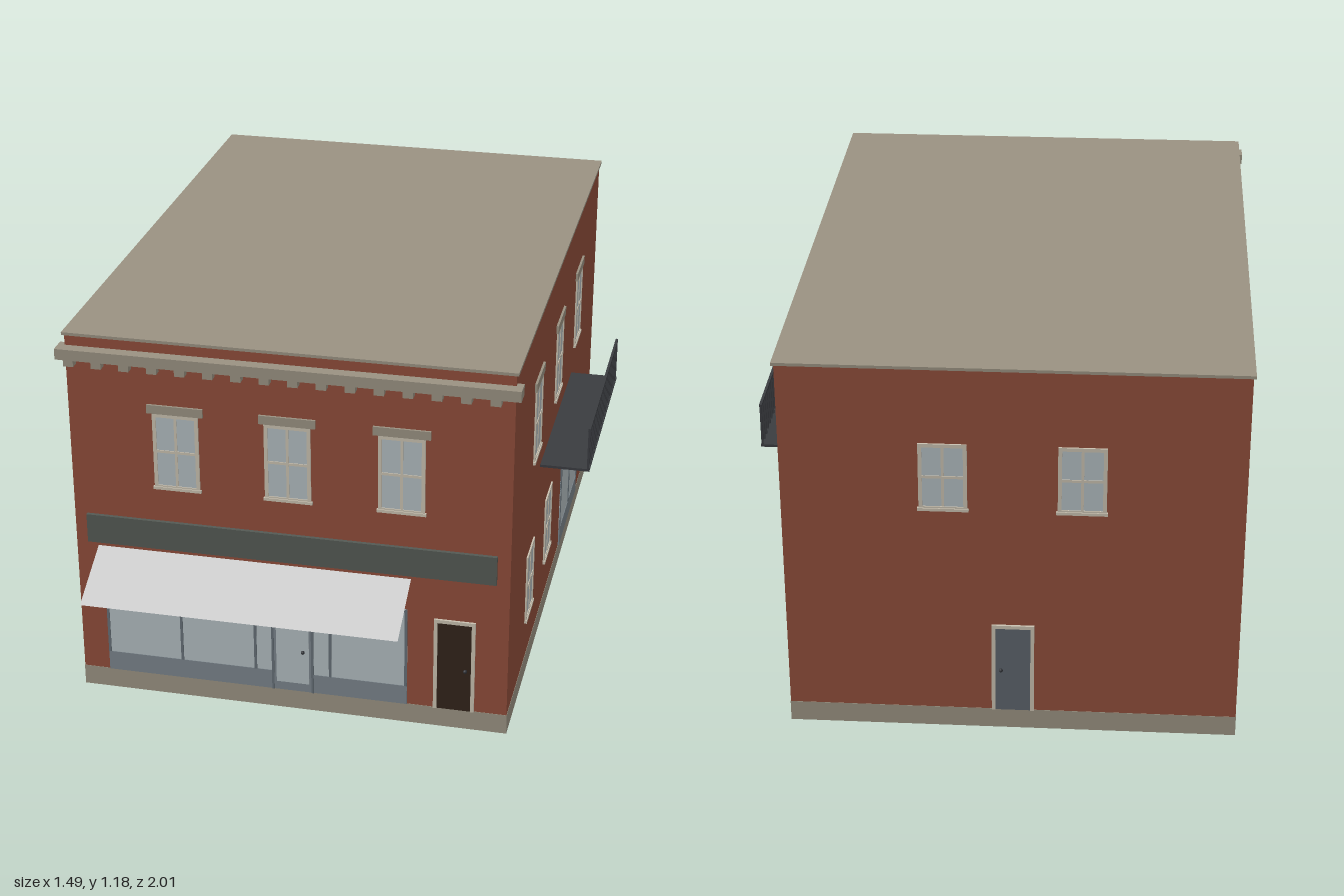
import * as THREE from 'three';

const paint = (color) => new THREE.MeshStandardMaterial({ color, roughness: 0.9 });
const M = {
  brick: paint(0x8f4d3a), stone: paint(0x9a9282), cream: paint(0xc9c1b0), glass: paint(0xb2bcc0),
  steel: paint(0x7a848b), mullion: paint(0x666f76), sign: paint(0x545954), brown: paint(0x32241a),
  slate: paint(0x5c646c), iron: paint(0x3a3c40), knob: paint(0x33353a),
};
const X0 = -0.725, X1 = 0.59, Z0 = -0.993, Z1 = 0.81, PLINTH = 0.064, TOP = 1.175;

// Box given by its limits on each axis
function box(parent, name, mat, x0, x1, y0, y1, z0, z1) {
  const mesh = new THREE.Mesh(new THREE.BoxGeometry(x1 - x0, y1 - y0, z1 - z0), mat);
  mesh.position.set((x0 + x1) / 2, (y0 + y1) / 2, (z0 + z1) / 2);
  mesh.name = name;
  parent.add(mesh);
  return mesh;
}

function group(parent, name) {
  const g = new THREE.Group();
  g.name = name;
  parent.add(g);
  return g;
}

// Rectangular frame with an opening, standing proud of the wall by d
function frame(parent, name, mat, x0, x1, y0, y1, t, d) {
  box(parent, name, mat, x0, x0 + t, y0, y1, -0.005, d);
  box(parent, name, mat, x1 - t, x1, y0, y1, -0.005, d);
  box(parent, name, mat, x0 + t, x1 - t, y1 - t, y1, -0.005, d);
  box(parent, name, mat, x0 + t, x1 - t, y0, y0 + t, -0.005, d);
}

// Four-pane window with sill and optional lintel
function sashWindow(wall, u, y0, y1, lintel) {
  const g = group(wall, 'window'), w = 0.069, mid = (y0 + y1) / 2;
  box(g, 'windowGlass', M.glass, u - w + 0.005, u + w - 0.005, y0 + 0.005, y1 - 0.005, -0.005, 0.002);
  frame(g, 'windowFrame', M.cream, u - w, u + w, y0, y1, 0.011, 0.005);
  box(g, 'windowMullion', M.cream, u - 0.004, u + 0.004, y0 + 0.01, y1 - 0.01, -0.005, 0.004);
  box(g, 'windowRail', M.cream, u - w + 0.01, u + w - 0.01, mid - 0.004, mid + 0.004, -0.005, 0.0045);
  box(g, 'windowSill', M.cream, u - w - 0.004, u + w + 0.004, y0 - 0.003, y0 + 0.006, -0.005, 0.008);
  if (lintel) box(g, 'windowLintel', M.stone, u - 0.084, u + 0.084, y1, y1 + 0.027, -0.005, 0.007);
}

// Framed door with a round knob
function door(wall, name, u0, u1, y1, frameMat, leafMat, knobU, t = 0.011) {
  const g = group(wall, name);
  box(g, 'doorLeaf', leafMat, u0 + t, u1 - t, PLINTH, y1 - t, -0.005, 0.004);
  box(g, 'doorJamb', frameMat, u0, u0 + t, PLINTH, y1, -0.005, 0.007);
  box(g, 'doorJamb', frameMat, u1 - t, u1, PLINTH, y1, -0.005, 0.007);
  box(g, 'doorHead', frameMat, u0 + t, u1 - t, y1 - t, y1, -0.005, 0.007);
  const knob = new THREE.Mesh(new THREE.SphereGeometry(0.006, 12, 8), M.knob);
  knob.name = 'doorKnob';
  knob.position.set(knobU, 0.203, 0.007);
  g.add(knob);
  return g;
}

// Shop glazing: glass above a solid panel, with upright bars
function shopGlazing(wall, name, u0, u1, y1, bars) {
  const g = group(wall, name);
  box(g, 'shopGlass', M.glass, u0, u1, 0.127, y1, -0.005, 0.002);
  box(g, 'shopPanel', M.steel, u0, u1, PLINTH, 0.127, -0.005, 0.004);
  box(g, 'shopHead', M.mullion, u0, u1, y1 - 0.008, y1, -0.005, 0.005);
  for (const u of [u0 + 0.004, ...bars, u1 - 0.004])
    box(g, 'shopBar', M.mullion, u - 0.004, u + 0.004, 0.127, y1 - 0.008, -0.005, 0.005);
  return g;
}

function buildFront(wall) {
  for (const u of [-0.402, -0.068, 0.268]) sashWindow(wall, u, 0.71, 0.952, true);
  box(wall, 'signBoard', M.sign, -0.687, 0.551, 0.508, 0.6, -0.005, 0.011);
  shopGlazing(wall, 'shopFront', -0.643, 0.288, 0.39, [-0.408, -0.178, 0.053]);

  // Glazed shop door
  const shopDoor = door(wall, 'shopDoor', -0.127, 0.002, 0.385, M.mullion, M.steel, -0.03, 0.007);
  box(shopDoor, 'doorGlass', M.glass, -0.113, -0.012, 0.092, 0.373, 0, 0.005);
  door(wall, 'sideDoor', 0.368, 0.492, 0.37, M.cream, M.brown, 0.464);

  // Sloping awning sheet
  const sheet = new THREE.PlaneGeometry(0.955, 1);
  const p = sheet.attributes.position;
  for (let i = 0; i < p.count; i++) {
    const upper = p.getY(i) > 0;
    p.setXYZ(i, p.getX(i) - 0.18, upper ? 0.494 : 0.394, upper ? 0.001 : 0.19);
  }
  sheet.computeVertexNormals();
  const awning = new THREE.Mesh(sheet, new THREE.MeshStandardMaterial({ color: 0xcccccc, side: THREE.DoubleSide }));
  awning.name = 'awning';
  wall.add(awning);

  // Cornice with dentils
  box(wall, 'cornice', M.stone, -0.745, 0.61, 1.11, 1.143, -0.018, 0.036);
  for (let i = 0; i < 16; i++) {
    const u = -0.709 + i * 0.0831;
    box(wall, 'corniceDentil', M.stone, u - 0.015, u + 0.015, 1.086, 1.11, -0.005, 0.026);
  }
}

// On this wall the across axis runs towards the back
function buildRight(wall) {
  for (const u of [-0.353, 0.09, 0.535]) sashWindow(wall, u, 0.71, 0.952, true);
  for (const u of [-0.423, -0.045]) sashWindow(wall, u, 0.2, 0.425, false);
  const glazing = shopGlazing(wall, 'sideShopWindow', 0.26, 0.672, 0.476, [0.466]);
  box(glazing, 'shopTransom', M.mullion, 0.26, 0.672, 0.386, 0.397, -0.005, 0.0055);

  // Balcony: floor slab and outer railing
  const b = group(wall, 'balcony');
  box(b, 'balconyFloor', M.iron, -0.26, 0.44, 0.619, 0.627, -0.005, 0.152);
  box(b, 'balconyRail', M.iron, -0.26, 0.44, 0.756, 0.764, 0.143, 0.151);
  for (let i = 0; i <= 20; i++) {
    const u = -0.257 + i * 0.0347;
    box(b, 'balconyBar', M.iron, u - 0.003, u + 0.003, 0.627, 0.756, 0.144, 0.15);
  }
}

// Seen from behind, the across axis runs towards the model's right
function buildBack(wall) {
  for (const u of [-0.128, 0.265]) sashWindow(wall, u, 0.735, 0.945, false);
  door(wall, 'backDoor', 0.008, 0.132, 0.357, M.cream, M.slate, 0.035);
}

export function createModel() {
  const model = new THREE.Group();
  model.name = 'cornerShop';
  box(model, 'plinth', M.stone, X0 - 0.001, X1 + 0.001, 0, PLINTH, Z0 - 0.001, Z1 + 0.001);
  box(model, 'brickWalls', M.brick, X0, X1, PLINTH, TOP, Z0, Z1);
  box(model, 'roofSlab', M.stone, X0 - 0.007, X1 + 0.007, TOP, 1.184, -1, 0.816);

  // Each wall is built flat, then turned into place
  const front = group(model, 'frontWall');
  front.position.z = Z1;
  buildFront(front);
  const right = group(model, 'sideWall');
  right.position.x = X1;
  right.rotation.y = Math.PI / 2;
  buildRight(right);
  const back = group(model, 'backWall');
  back.position.z = Z0;
  back.rotation.y = Math.PI;
  buildBack(back);
  return model;
}
